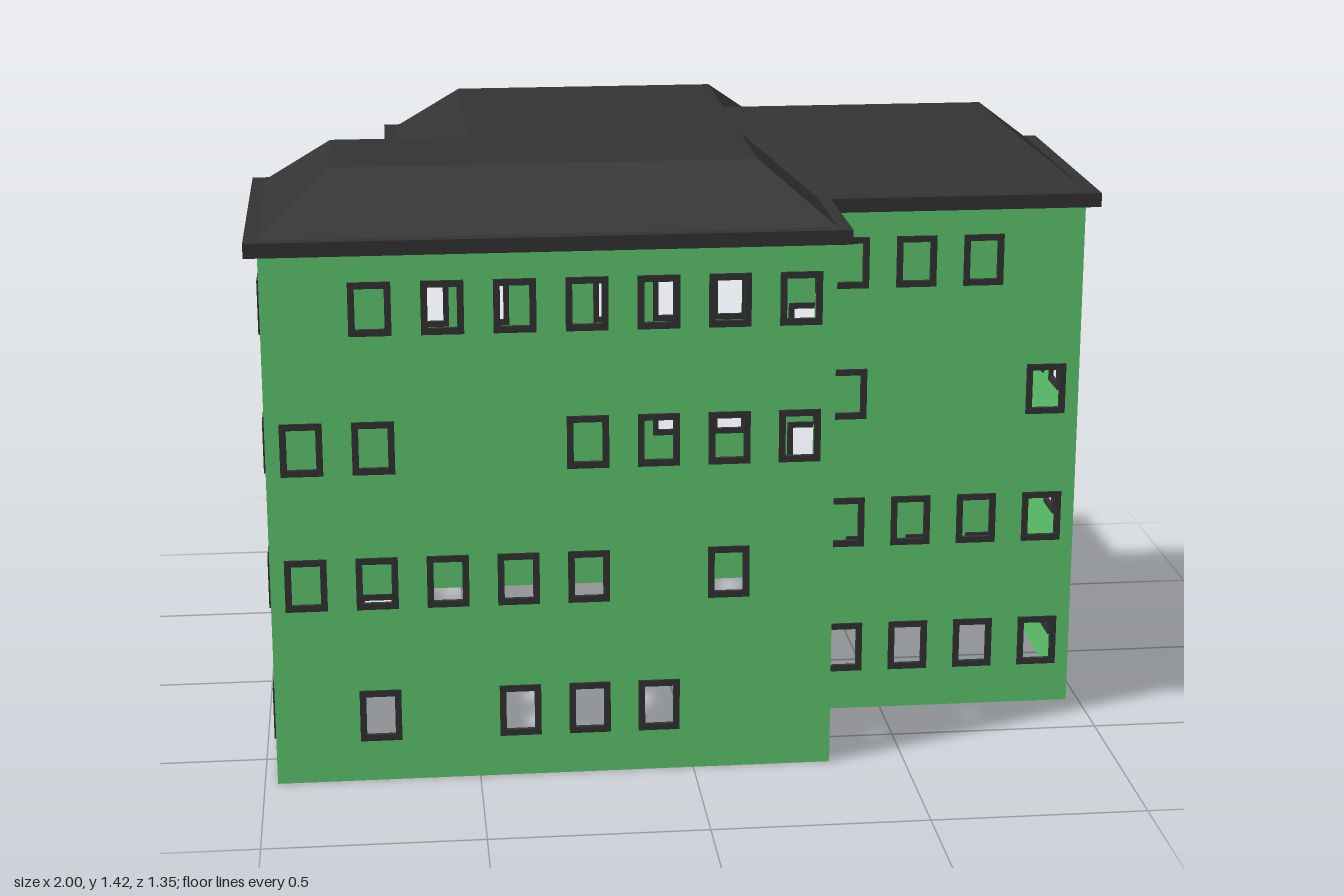
import * as THREE from 'three';
import { mergeGeometries } from 'three/addons/utils/BufferGeometryUtils.js';

const C = 0.1617;               // plan module: one window bay
const WALL_H = 8 * C;           // four storeys of two modules
const EAVE_Y = 1.26, RIDGE_Y = 1.42;

const green = new THREE.MeshStandardMaterial({ color: 0x60cc70, side: THREE.DoubleSide });
const dark = new THREE.MeshStandardMaterial({ color: 0x333333 });

// Each wall starts at a plan corner [x, z] in modules and runs to the next one.
// Windows list the bay numbers per storey, ground floor first.
const walls = [
  { name: 'frontWall', at: [0, 8], bays: [[1, 3, 4, 5], [0, 1, 2, 3, 4, 6], [0, 1, 4, 5, 6, 7], [1, 2, 3, 4, 5, 6, 7]] },
  { name: 'frontReturnWall', at: [8, 8], bays: [[6, 7], [6, 7], [6, 7], [6]] },
  { name: 'wingFrontWall', at: [8, 6], bays: [[8, 9, 10, 11], [8, 9, 10, 11], [8, 11], [8, 9, 10]] },
  { name: 'wingEndWall', at: [12, 6], bays: [[2, 4, 5], [2, 3, 4], [2, 3, 4], [3, 4, 5]] },
  { name: 'wingBackWall', at: [12, 2], bays: [[8, 9, 10, 11], [8, 9, 11], [8, 10, 11], [9, 11]] },
  { name: 'backReturnWall', at: [8, 2], bays: [[0, 1], [1], [0], [0, 1]] },
  { name: 'backWall', at: [8, 0], bays: [[2, 3, 5, 6, 7], [3, 4, 6, 7], [2, 3, 4, 5, 6, 7], [2, 3, 4, 6, 7]] },
  { name: 'entranceWall', at: [2, 0], bays: [[0, 1, 2], [0, 1, 2], [0, 1, 2, 3], [1, 2, 3]] },
  { name: 'courtWall', at: [2, 4], bays: [[1], [0], [0, 1], [0, 1]] },
  { name: 'sideWall', at: [0, 4], bays: [[5, 6, 7], [4, 5, 6, 7], [4, 5, 6, 7], [4, 5, 6, 7]] },
];
const corners = walls.map(w => [(w.at[0] - 6) * C, (w.at[1] - 4) * C]);
const N = corners.length;

// Outline moved outward by d (negative: inward)
function offsetOutline(d) {
  const normal = i => {
    const a = corners[i], b = corners[(i + 1) % N];
    return [-Math.sign(b[1] - a[1]), Math.sign(b[0] - a[0])];
  };
  return corners.map(([x, z], i) => {
    const p = normal((i + N - 1) % N), q = normal(i);
    return [x + d * (p[0] + q[0]), z + d * (p[1] + q[1])];
  });
}

const planShape = pts => new THREE.Shape(pts.map(([x, z]) => new THREE.Vector2(x, -z)));

function rectPath(Type, cx, cy, w, h) {
  return new Type([[-1, -1], [1, -1], [1, 1], [-1, 1]]
    .map(([sx, sy]) => new THREE.Vector2(cx + sx * w / 2, cy + sy * h / 2)));
}

function add(parent, name, geometry, material) {
  const mesh = new THREE.Mesh(geometry, material);
  mesh.name = name;
  parent.add(mesh);
  return mesh;
}

// One wall with real window openings and their frames
function buildWall(wall, i) {
  const [ax, az] = corners[i], [bx, bz] = corners[(i + 1) % N];
  const length = Math.hypot(bx - ax, bz - az);
  const start = Math.abs(bx - ax) > 0.01 ? wall.at[0] : wall.at[1];
  const group = new THREE.Group();
  group.name = wall.name;
  group.position.set(ax, 0, az);
  group.rotation.y = Math.atan2(-(bz - az), bx - ax);

  const face = rectPath(THREE.Shape, length / 2, WALL_H / 2, length, WALL_H);
  const frames = [];
  wall.bays.forEach((row, storey) => row.forEach(bay => {
    const x = Math.abs(bay + 0.5 - start) * C, y = (2 * storey + 1) * C;
    face.holes.push(rectPath(THREE.Path, x, y, 0.07, 0.098));
    const ring = rectPath(THREE.Shape, x, y, 0.096, 0.124);
    ring.holes.push(rectPath(THREE.Path, x, y, 0.066, 0.094));
    frames.push(new THREE.ExtrudeGeometry(ring, { depth: 0.01, bevelEnabled: false }).translate(0, 0, -0.005));
  }));
  add(group, 'wallFace', new THREE.ShapeGeometry(face), green);
  add(group, 'windowFrames', mergeGeometries(frames), dark);
  return group;
}

// Hipped roof with a flat top over an overhanging eave
function buildRoof() {
  const roof = new THREE.Group();
  roof.name = 'roof';
  const eave = new THREE.ExtrudeGeometry(planShape(offsetOutline(0.03)), { depth: WALL_H - EAVE_Y, bevelEnabled: false });
  add(roof, 'eave', eave.rotateX(-Math.PI / 2).translate(0, EAVE_Y, 0), dark);

  const top = offsetOutline(-C), pos = [];
  for (let i = 0; i < N; i++) {
    const j = (i + 1) % N;
    const a = [corners[i][0], WALL_H, corners[i][1]], b = [corners[j][0], WALL_H, corners[j][1]];
    const c = [top[j][0], RIDGE_Y, top[j][1]], d = [top[i][0], RIDGE_Y, top[i][1]];
    pos.push(...a, ...b, ...c, ...a, ...c, ...d);
  }
  const slopes = new THREE.BufferGeometry();
  slopes.setAttribute('position', new THREE.Float32BufferAttribute(pos, 3));
  slopes.computeVertexNormals();
  add(roof, 'roofSlopes', slopes, dark);
  add(roof, 'roofTop', new THREE.ShapeGeometry(planShape(top)).rotateX(-Math.PI / 2).translate(0, RIDGE_Y, 0), dark);
  return roof;
}

// Door in the inner corner with steps down to the ground
function buildEntrance() {
  const entrance = new THREE.Group();
  entrance.name = 'entrance';
  const wallX = -4 * C, z = -C / 2, steps = 9, rise = 0.1 / steps, run = 2 * C / steps;
  add(entrance, 'door', new THREE.BoxGeometry(0.01, 0.21, 0.13), dark).position.set(wallX - 0.006, 0.205, z);
  const profile = new THREE.Shape();
  profile.moveTo(-6 * C, 0);
  for (let i = 0; i < steps; i++) {
    profile.lineTo(-6 * C + i * run, (i + 1) * rise);
    profile.lineTo(-6 * C + (i + 1) * run, (i + 1) * rise);
  }
  profile.lineTo(wallX, 0);
  const stairs = new THREE.ExtrudeGeometry(profile, { depth: C - 0.002, bevelEnabled: false });
  add(entrance, 'stairs', stairs.translate(0, 0, -C), dark);
  return entrance;
}

export function createModel() {
  const model = new THREE.Group();
  model.name = 'apartmentBuilding';
  walls.forEach((wall, i) => model.add(buildWall(wall, i)));
  model.add(buildRoof(), buildEntrance());
  return model;
}
